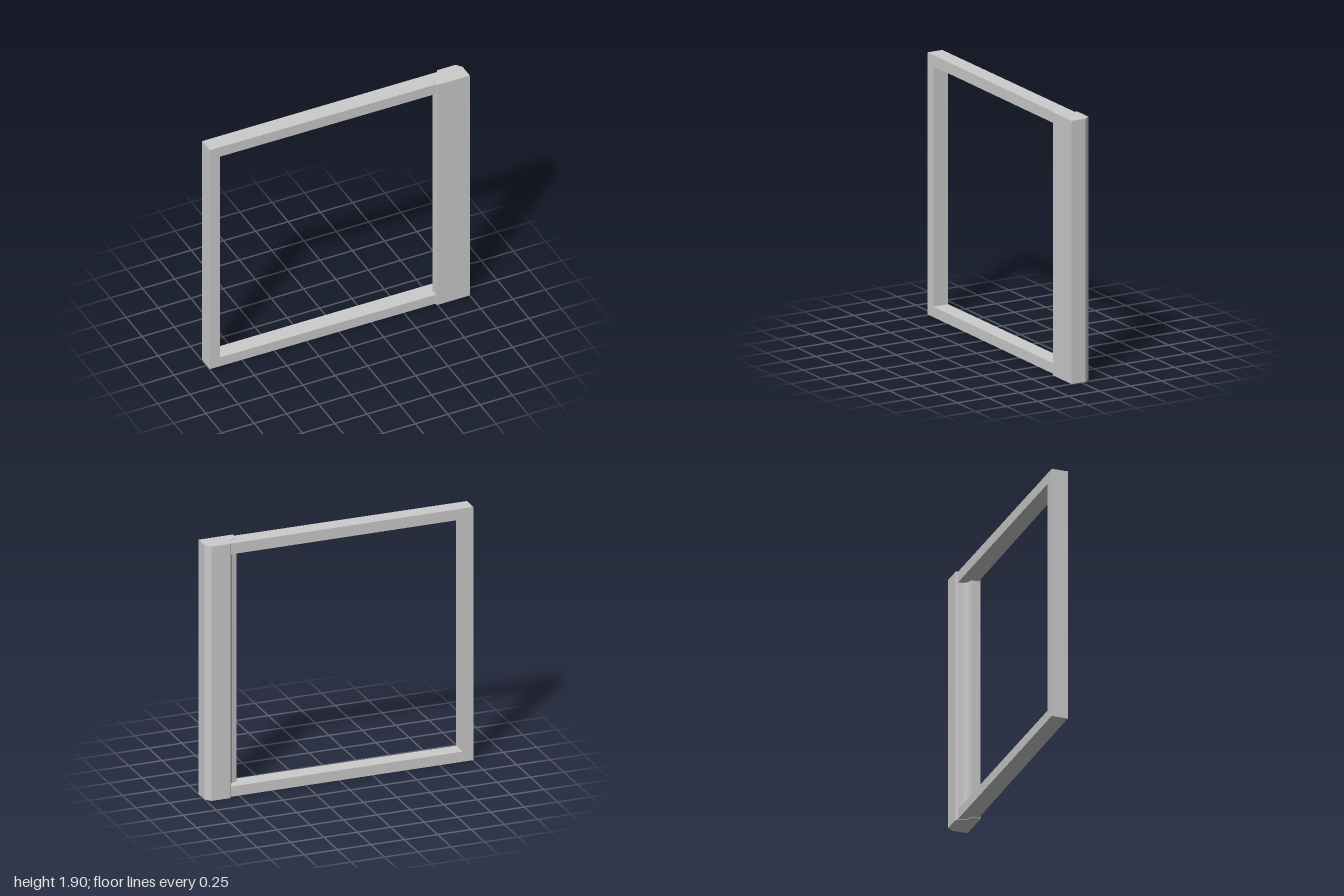
import * as THREE from 'three';

const material = new THREE.MeshStandardMaterial({ color: 0xcccccc, flatShading: true });

function polygon(points) {
  return new THREE.Shape(points.map(([x, y]) => new THREE.Vector2(x, y)));
}

function addPart(group, name, geometry) {
  const mesh = new THREE.Mesh(geometry, material);
  mesh.name = name;
  group.add(mesh);
}

export function createModel() {
  const group = new THREE.Group();
  group.name = 'windowFrame';

  // Three-sided frame: top rail, outer stile and bottom rail
  const end = 0.82, backZ = -0.065;
  const frame = new THREE.ExtrudeGeometry(polygon([
    [-1, 0.004], [end, 0.004], [end, 0.08], [-0.92, 0.08],
    [-0.92, 1.815], [end, 1.815], [end, 1.896], [-1, 1.896],
  ]), { depth: 1, bevelEnabled: false });

  // The front face leans slightly forward towards the post
  const p = frame.attributes.position;
  for (let i = 0; i < p.count; i++) {
    const frontZ = 0.054 + 0.0055 * (p.getX(i) + 1);
    p.setZ(i, p.getZ(i) > 0.5 ? frontZ : backZ);
  }
  frame.computeVertexNormals();
  addPart(group, 'frameRails', frame);

  // Wide post: flat front, chamfered outer corner, coved inner back
  const profile = [
    [0.745, 0.078], [1, 0.078], [1, -0.035], [0.967, -0.078],
    [0.825, -0.078], [0.816, -0.065], [0.806, -0.027],
    [0.783, 0], [0.745, 0.01],
  ];
  const post = new THREE.ExtrudeGeometry(
    polygon(profile.map(([x, z]) => [x, -z])),
    { depth: 1.9, bevelEnabled: false },
  );
  post.rotateX(-Math.PI / 2);
  addPart(group, 'widePost', post);

  return group;
}
